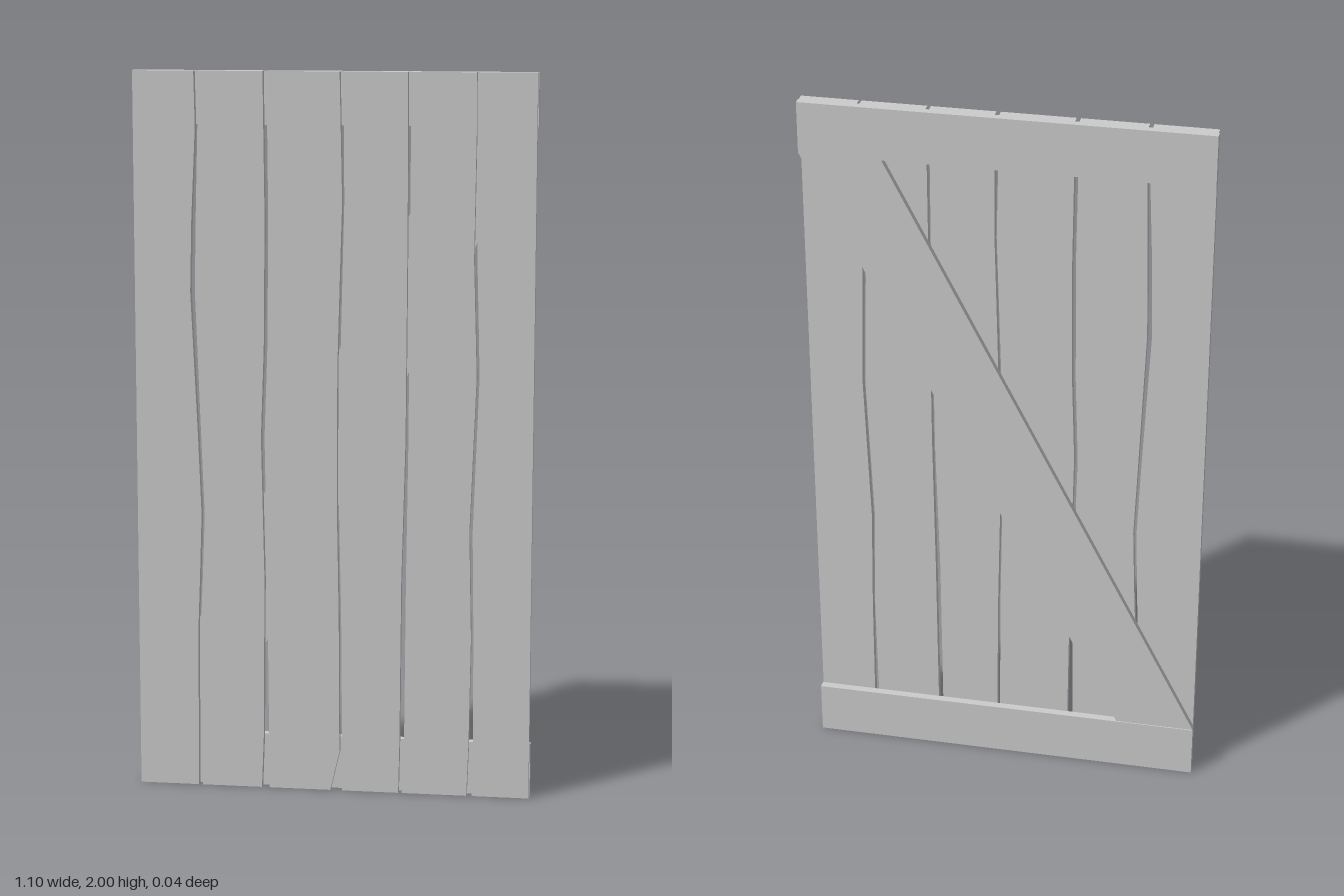
import * as THREE from 'three';

const HALF = 0.548, PLANK_T = 0.022, BACK_T = 0.022;

// Wavy gaps between planks: [y, left edge x, right edge x]
const gaps = [
  [[0, -0.382, -0.371], [0.45, -0.38, -0.373], [0.6, -0.374, -0.366], [0.78, -0.368, -0.359], [1, -0.376, -0.367],
    [1.4, -0.394, -0.381], [1.6, -0.389, -0.377], [1.85, -0.377, -0.37], [2, -0.38, -0.369]],
  [[0, -0.202, -0.181], [0.15, -0.196, -0.181], [0.6, -0.192, -0.184], [1, -0.2, -0.19], [1.25, -0.191, -0.181],
    [1.6, -0.187, -0.177], [2, -0.191, -0.18]],
  [[0, -0.008, 0.025], [0.11, 0.018, 0.026], [0.5, 0.016, 0.023], [0.8, 0.011, 0.017], [1.2, 0.012, 0.02],
    [1.45, 0.019, 0.026], [1.65, 0.025, 0.031], [2, 0.018, 0.029]],
  [[0, 0.184, 0.194], [0.15, 0.187, 0.2], [0.6, 0.19, 0.203], [1, 0.2, 0.208], [1.6, 0.203, 0.21], [2, 0.202, 0.211]],
  [[0, 0.375, 0.39], [0.15, 0.38, 0.392], [0.45, 0.384, 0.391], [0.75, 0.377, 0.386], [1.18, 0.393, 0.401],
    [1.5, 0.383, 0.392], [1.85, 0.387, 0.393], [2, 0.386, 0.393]],
];

export function createModel() {
  const group = new THREE.Group();
  const material = new THREE.MeshStandardMaterial({ color: 0xcccccc, flatShading: true });

  // Flat board cut from an outline, from depth z to z + thickness
  const board = (name, outline, z, thickness) => {
    const shape = new THREE.Shape(outline.map(([x, y]) => new THREE.Vector2(x, y)));
    const geometry = new THREE.ExtrudeGeometry(shape, { depth: thickness, bevelEnabled: false });
    const mesh = new THREE.Mesh(geometry.translate(0, 0, z), material);
    mesh.name = name;
    group.add(mesh);
  };

  // Six upright planks with uneven edges
  for (let i = 0; i <= gaps.length; i++) {
    const left = i === 0 ? [[-HALF, 0], [-HALF, 2]] : gaps[i - 1].map(([y, , x]) => [x, y]);
    const right = i === gaps.length ? [[HALF, 0], [HALF, 2]] : gaps[i].map(([y, x]) => [x, y]);
    board(`plank${i + 1}`, [...right, ...left.reverse()], 0, PLANK_T);
  }

  // Rails across the back
  const rail = (name, y0, y1) =>
    board(name, [[-0.55, y0], [0.55, y0], [0.55, y1], [-0.55, y1]], -BACK_T, BACK_T);
  rail('bottomRail', 0, 0.15);
  rail('topRail', 1.855, 2);

  // Diagonal brace between the rails
  board('brace', [[-0.55, 0.15], [-0.328, 0.15], [0.55, 1.855], [0.328, 1.855]], -0.019, 0.019);

  return group;
}
